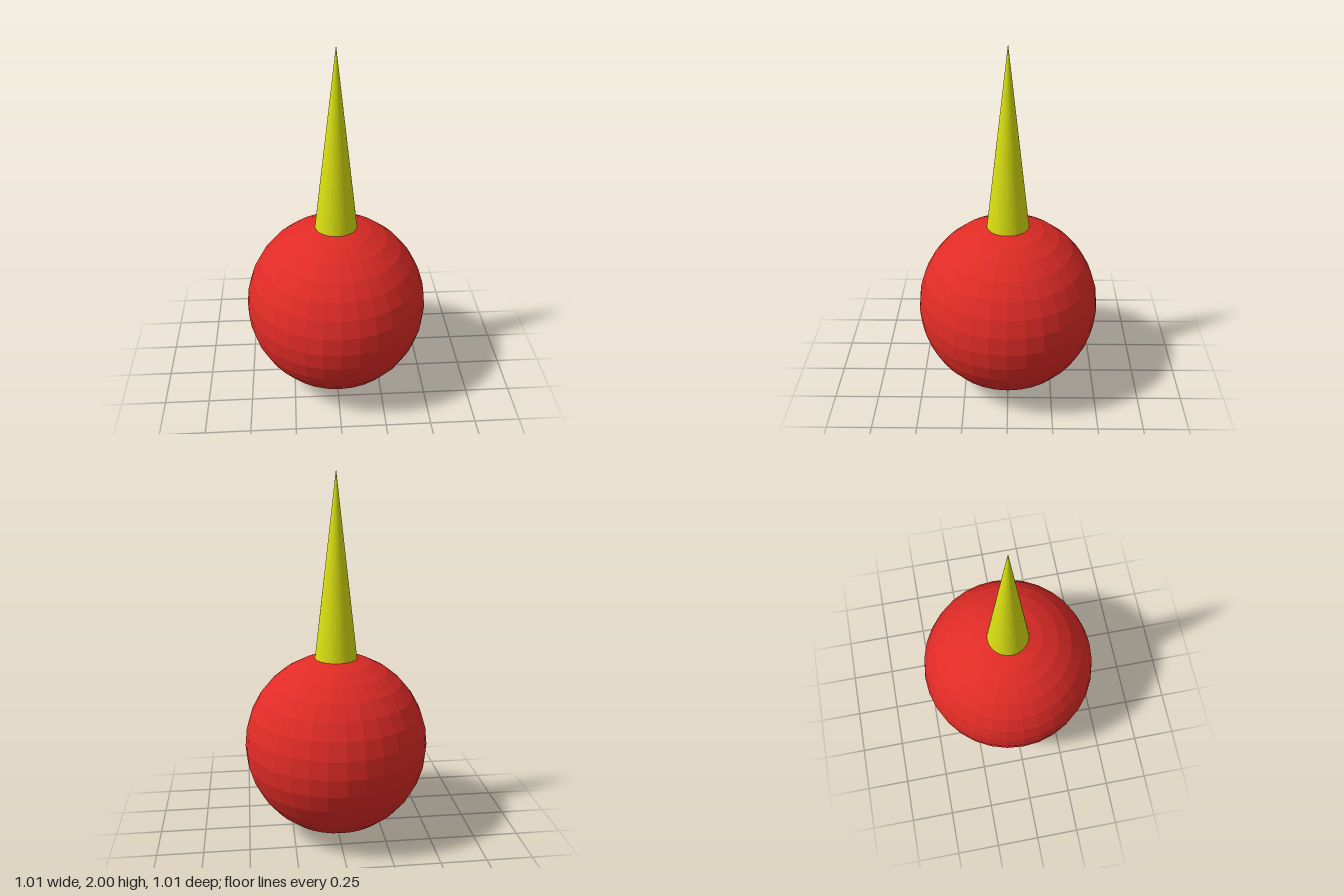
import * as THREE from 'three';

const RADIUS = 0.507;
const SPIKE_BASE = 1.0;
const SPIKE_TOP = 2.0;

function addPart(group, name, geometry, color, y) {
  const material = new THREE.MeshStandardMaterial({ color, flatShading: true });
  const mesh = new THREE.Mesh(geometry, material);
  mesh.name = name;
  mesh.position.y = y;
  group.add(mesh);
}

export function createModel() {
  const group = new THREE.Group();
  group.name = 'spikedBall';

  // Faceted ball resting on the ground
  addPart(group, 'ball', new THREE.SphereGeometry(RADIUS, 32, 16), 0xe02b26, RADIUS);

  // Tall slender cone whose rim sits on the top of the ball
  const height = SPIKE_TOP - SPIKE_BASE;
  addPart(group, 'spike', new THREE.ConeGeometry(0.115, height, 48), 0xdbe010, SPIKE_BASE + height / 2);

  return group;
}
